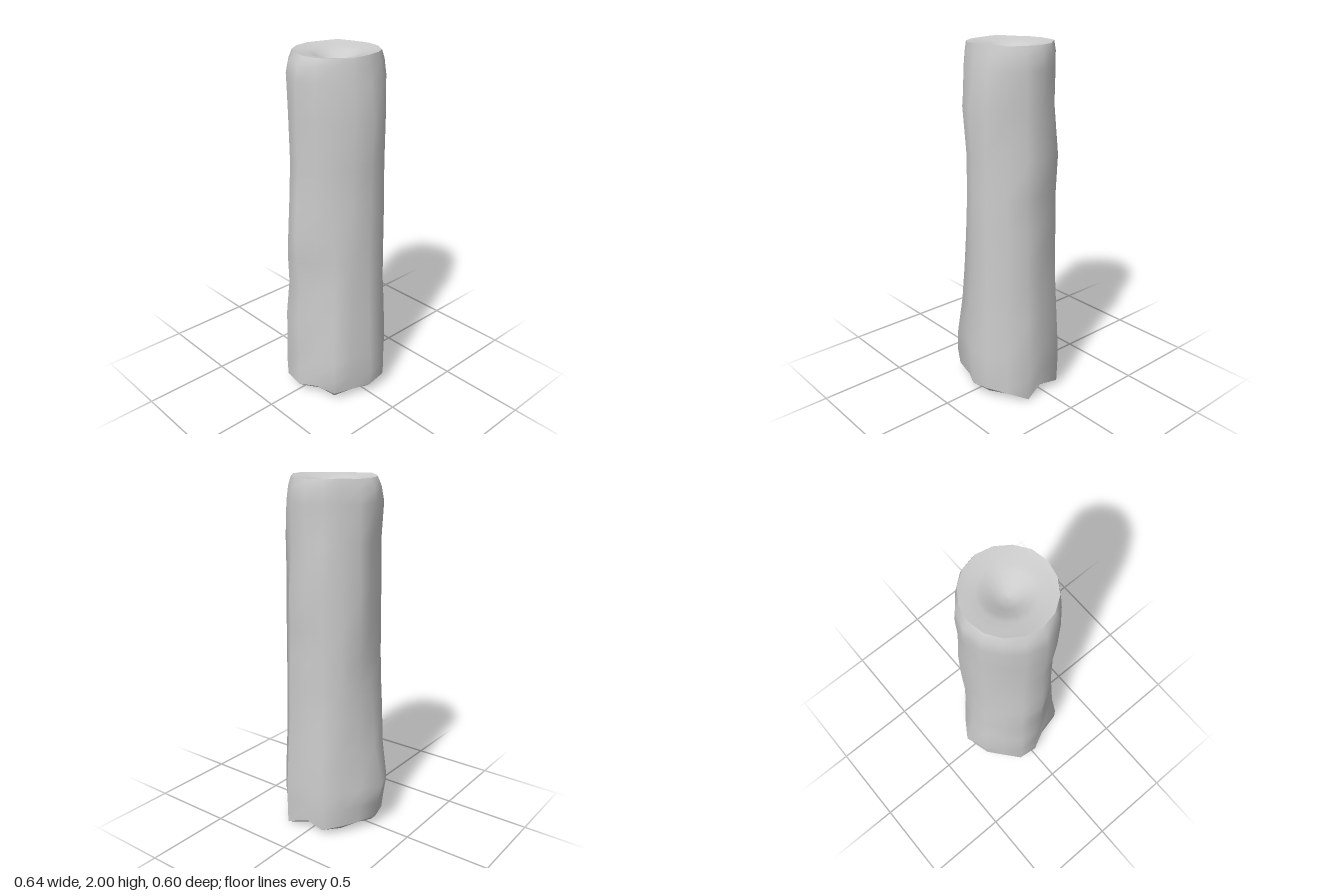
import * as THREE from 'three';

const SIDES = 16;
const CX = 0.018; // the trunk axis sits slightly off centre

// Height, then radii of the eight main columns, from +x round through the front
const SECTIONS = [
  [0.05, 0.29, 0.308, 0.297, 0.274, 0.297, 0.272, 0.265, 0.284],
  [0.15, 0.298, 0.32, 0.295, 0.283, 0.308, 0.277, 0.268, 0.284],
  [0.27, 0.293, 0.318, 0.287, 0.286, 0.338, 0.277, 0.268, 0.28],
  [0.5, 0.278, 0.285, 0.298, 0.276, 0.284, 0.262, 0.26, 0.272],
  [0.7, 0.272, 0.268, 0.277, 0.267, 0.27, 0.256, 0.247, 0.268],
  [0.88, 0.268, 0.256, 0.299, 0.263, 0.247, 0.25, 0.25, 0.265],
  [1.03, 0.268, 0.248, 0.3, 0.253, 0.24, 0.25, 0.25, 0.262],
  [1.2, 0.268, 0.242, 0.291, 0.245, 0.24, 0.25, 0.246, 0.258],
  [1.42, 0.268, 0.24, 0.276, 0.24, 0.242, 0.247, 0.268, 0.247],
  [1.67, 0.281, 0.255, 0.28, 0.247, 0.243, 0.236, 0.246, 0.252],
  [1.87, 0.252, 0.245, 0.278, 0.262, 0.266, 0.238, 0.258, 0.256],
  [1.95, 0.239, 0.237, 0.264, 0.246, 0.258, 0.237, 0.252, 0.245],
  [1.995, 0.229, 0.23, 0.232, 0.228, 0.229, 0.228, 0.234, 0.231],
];
// How far the columns between them stand out, at mid height and at the root
const RIDGE_MID = [-0.006, -0.005, 0.004, 0.02, 0.022, 0.025, 0.025, 0.02];
const RIDGE_ROOT = [-0.04, -0.036, 0.022, 0.002, -0.02, 0.035, 0.046, 0.02];
// Ragged height of each column at the foot edge
const FOOT = [0.055, 0.045, 0.06, 0.065, 0.052, 0.06, 0.055, 0.06, 0.06, 0.05, 0.045, 0.035, 0.05, 0.015, 0.04, 0.072];

const { lerp, clamp } = THREE.MathUtils;

function ring([y, ...main]) {
  const root = clamp((1.1 - y) / 0.8, 0, 1);
  const fade = clamp((1.95 - y) / 0.5, 0, 1);
  return FOOT.map((_, i) => {
    const m = i >> 1;
    const r = i % 2
      ? (main[m] + main[(m + 1) % 8]) / 2 + fade * lerp(RIDGE_MID[m], RIDGE_ROOT[m], root)
      : main[m];
    const a = (i / SIDES) * Math.PI * 2;
    return new THREE.Vector3(CX + r * Math.cos(a), y, r * Math.sin(a));
  });
}

// Smooth closed skin through a list of rings
function loft(rings) {
  const index = [];
  for (let j = 0; j < rings.length - 1; j++) {
    for (let i = 0; i < SIDES; i++) {
      const n = (i + 1) % SIDES;
      const a = j * SIDES + i, b = j * SIDES + n, c = a + SIDES, d = b + SIDES;
      index.push(a, c, b, b, c, d);
    }
  }
  const geo = new THREE.BufferGeometry().setFromPoints(rings.flat());
  geo.setIndex(index);
  geo.computeVertexNormals();
  return geo;
}

// Shrink a ring toward the axis, with a new height per column
const shrink = (points, t, height) => points.map((p, i) =>
  new THREE.Vector3(CX + (p.x - CX) * t, height(i), p.z * t));

export function createModel() {
  const group = new THREE.Group();
  const material = new THREE.MeshStandardMaterial({ color: 0xcccccc, side: THREE.DoubleSide });
  const add = (name, geo) => {
    const mesh = new THREE.Mesh(geo, material);
    mesh.name = name;
    group.add(mesh);
  };

  // Bark with ragged lower edge and slightly uneven rim
  const rings = SECTIONS.map(ring);
  const foot = rings[0], rim = rings[rings.length - 1];
  foot.forEach((p, i) => { p.y = FOOT[i]; });
  rim.forEach((p, i) => { p.y = i % 5 === 0 ? 2 : 1.994; });
  add('trunk', loft(rings));

  // Upper end with a hollow in the middle
  const dish = [[0.85, 1.988], [0.65, 1.98], [0.5, 1.968], [0.3, 1.94], [0.15, 1.926], [0.001, 1.922]];
  add('topEnd', loft([rim, ...dish.map(([t, y]) => shrink(rim, t, () => y))]));

  // Uneven, bevelled lower end
  const base = [[0.001, 0.045], [0.35, 0.043], [0.65, 0.035], [0.88, 0.022]].map(([t, y]) =>
    shrink(foot, t, i => Math.max(0, y + t * t * ((FOOT[i] - 0.05) * 0.7 + 0.008 * Math.sin(i * 2.3)))));
  add('bottomEnd', loft([...base, foot]));
  return group;
}
